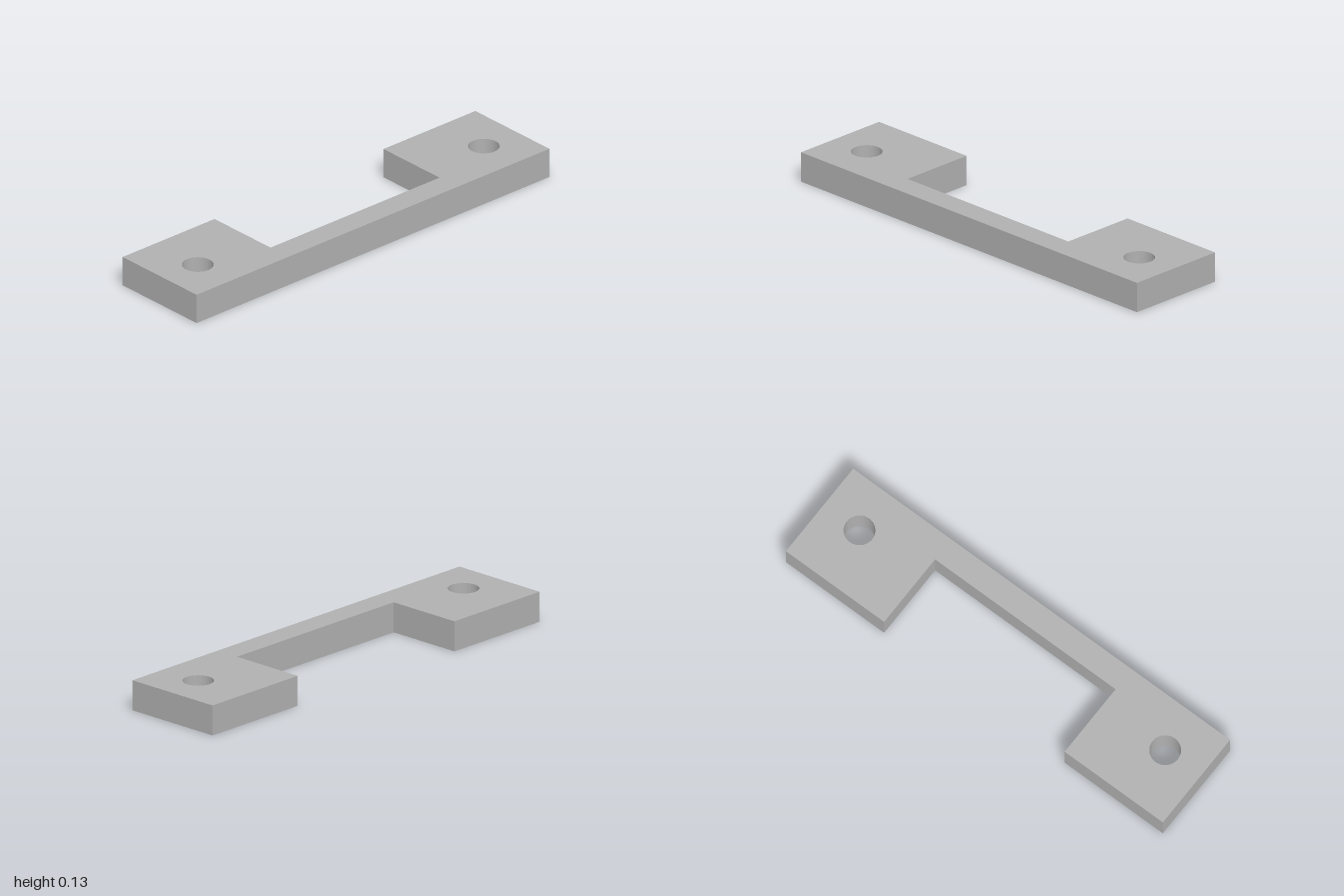
import * as THREE from 'three';

export function createModel() {
  const group = new THREE.Group();
  group.name = 'mountingBracket';
  const grey = new THREE.MeshStandardMaterial({ color: 0xb0b0b0 });
  grey.name = 'plain grey';

  const height = 0.134, back = 0.233, barBack = -0.12, tabInner = 0.479;

  // U-shaped outline, drawn with shape y pointing to the back (-z)
  const outline = new THREE.Shape([
    [-1, -back], [1, -back], [1, back], [tabInner, back],
    [tabInner, barBack], [-tabInner, barBack], [-tabInner, back], [-1, back],
  ].map(([x, y]) => new THREE.Vector2(x, y)));

  // One screw hole through each tab
  for (const side of [-1, 1]) {
    const hole = new THREE.Path();
    hole.absarc(side * 0.811, -0.03, 0.067, 0, Math.PI * 2, true);
    outline.holes.push(hole);
  }

  const geometry = new THREE.ExtrudeGeometry(outline, {
    depth: height, bevelEnabled: false, curveSegments: 24,
  });
  geometry.rotateX(-Math.PI / 2);

  const bracket = new THREE.Mesh(geometry, grey);
  bracket.name = 'bracketPlate';
  group.add(bracket);
  return group;
}
